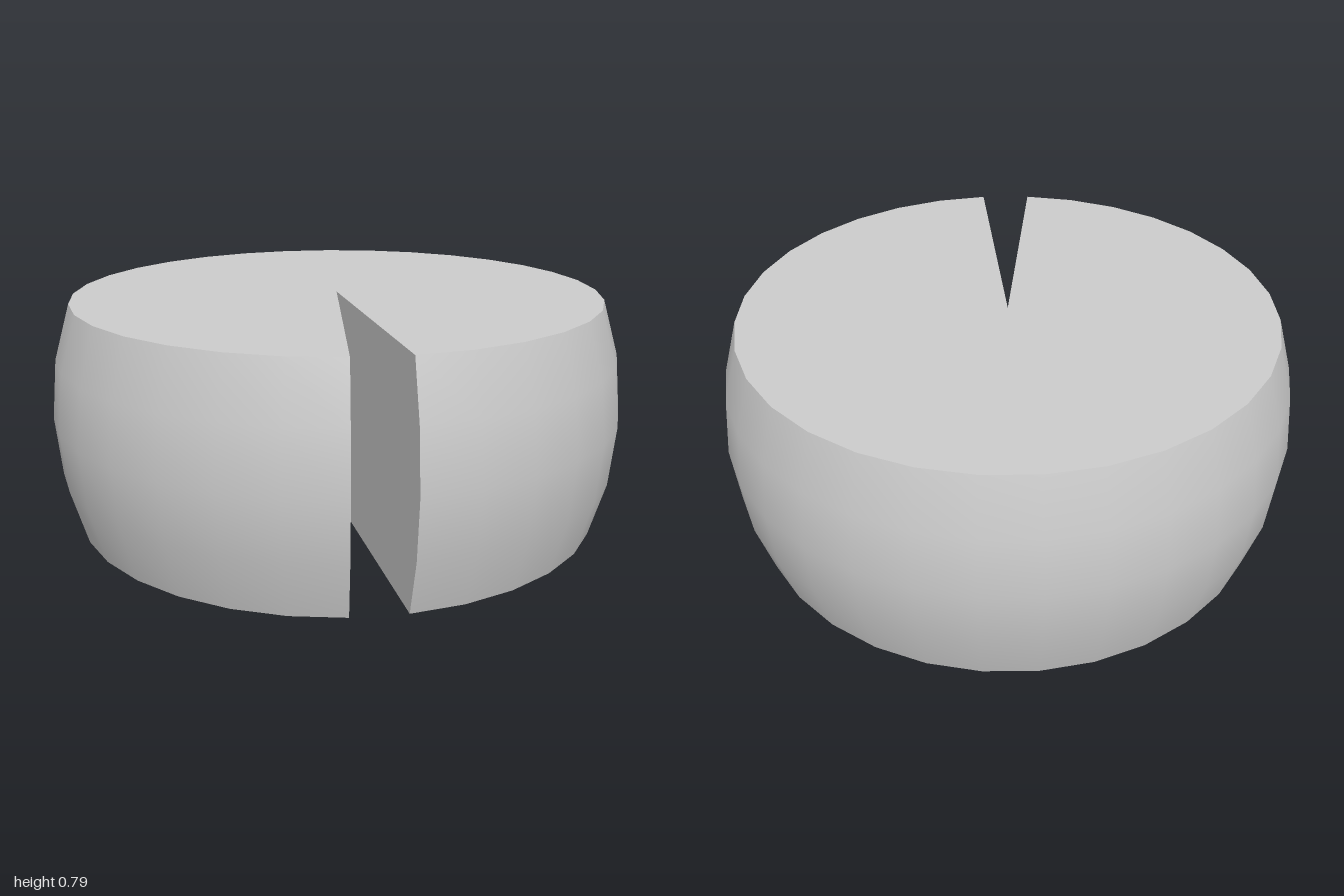
import * as THREE from 'three';

export function createModel() {
  const group = new THREE.Group();
  group.name = 'cutWheel';
  const material = new THREE.MeshStandardMaterial({ color: 0xcccccc });

  const height = 0.79;
  const sides = 31; // one of 32 sides is cut away
  const sweep = (sides / 32) * Math.PI * 2;

  // Bulging side profile: radius, height
  const profile = [
    [0.925, 0], [0.98, 0.19], [1, 0.395], [0.98, 0.6], [0.925, height],
  ].map(([r, y]) => new THREE.Vector2(r, y));
  const capRadius = profile[0].x;

  const add = (name, geometry) => {
    const mesh = new THREE.Mesh(geometry, material);
    mesh.name = name;
    group.add(mesh);
  };

  // Rounded outer side
  add('rind', new THREE.LatheGeometry(profile, sides, 0, sweep));

  // Flat top and bottom, open at the cut
  add('topFace', new THREE.CircleGeometry(capRadius, sides, -Math.PI / 2, sweep)
    .rotateX(-Math.PI / 2).translate(0, height, 0));
  add('bottomFace', new THREE.CircleGeometry(capRadius, sides, Math.PI / 2 - sweep, sweep)
    .rotateX(Math.PI / 2));

  // Two flat walls of the narrow wedge cut, both facing into the gap
  const addWall = (name, angle, side) => {
    const shape = new THREE.Shape([
      new THREE.Vector2(0, 0),
      ...profile.map((p) => new THREE.Vector2(side * p.x, p.y)),
      new THREE.Vector2(0, height),
    ]);
    add(name, new THREE.ShapeGeometry(shape).rotateY(angle - side * Math.PI / 2));
  };
  addWall('leftCutWall', 0, 1);
  addWall('rightCutWall', sweep, -1);

  return group;
}
